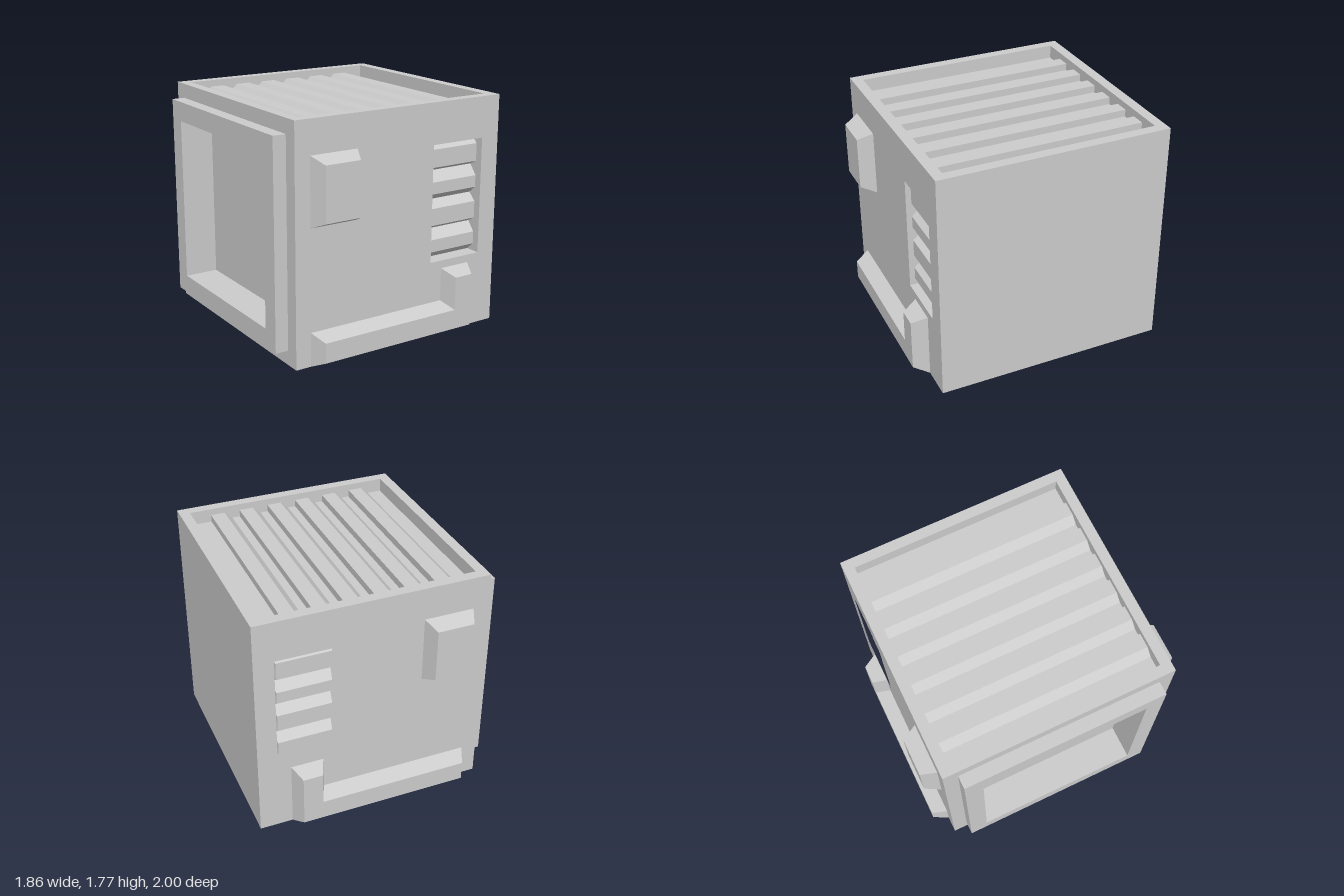
import * as THREE from 'three';

const material = new THREE.MeshStandardMaterial({ color: 0xcccccc, flatShading: true });

function add(parent, name, geometry) {
  const mesh = new THREE.Mesh(geometry, material);
  mesh.name = name;
  parent.add(mesh);
  return mesh;
}

const rect = (x0, x1, y0, y1) => [[x0, y0], [x1, y0], [x1, y1], [x0, y1]];
const vectors = (points) => points.map(([x, y]) => new THREE.Vector2(x, y));

// Straight plate with an optional opening
function plate(outline, hole, depth) {
  const shape = new THREE.Shape(vectors(outline));
  if (hole) shape.holes.push(new THREE.Path(vectors(hole)));
  return new THREE.ExtrudeGeometry(shape, { depth, bevelEnabled: false });
}

// Raised block tapering from a base outline at z0 to a face outline at z1
function taperedBlock(base, face, z0, z1) {
  let b = vectors(base), f = vectors(face);
  if (THREE.ShapeUtils.isClockWise(b)) { b = b.reverse(); f = f.reverse(); }
  const pos = [];
  const put = (p, z) => pos.push(p.x, p.y, z);
  for (let i = 0; i < b.length; i++) {
    const j = (i + 1) % b.length;
    put(b[i], z0); put(b[j], z0); put(f[j], z1);
    put(b[i], z0); put(f[j], z1); put(f[i], z1);
  }
  for (const [i, j, k] of THREE.ShapeUtils.triangulateShape(f, [])) {
    put(f[i], z1); put(f[j], z1); put(f[k], z1);
  }
  const geometry = new THREE.BufferGeometry();
  geometry.setAttribute('position', new THREE.Float32BufferAttribute(pos, 3));
  geometry.computeVertexNormals();
  return geometry;
}

// One decorated wall; s = -1 gives the mirrored layout for the back
function decoratedWall(name, s) {
  const wall = new THREE.Group();
  wall.name = name;
  const flip = (points) => points.map(([x, y]) => [s * x, y]);

  // Wall panel with the vent opening
  const panel = plate(flip(rect(-0.83, 0.93, 0, 1.665)), flip(rect(0.33, 0.78, 0.57, 1.46)), 0.12);
  add(wall, 'wallPanel', panel.translate(0, 0, 0.765));

  // Vent slats: base bottom, base top, face bottom, face top
  const slats = [
    [1.24, 1.46, 1.28, 1.415], [1.02, 1.24, 1.08, 1.17],
    [0.795, 1.02, 0.84, 0.97], [0.57, 0.795, 0.635, 0.73],
  ];
  for (const [b0, b1, f0, f1] of slats) {
    add(wall, 'ventSlat', taperedBlock(
      flip(rect(0.33, 0.78, b0, b1)), flip(rect(0.35, 0.76, f0, f1)), 0.765, 0.85));
  }

  // Raised rectangular pad
  add(wall, 'raisedPad', taperedBlock(
    flip(rect(-0.71, -0.33, 1.015, 1.52)), flip(rect(-0.66, -0.38, 1.065, 1.47)), 0.885, 1));

  // L-shaped raised duct along the bottom
  const ductBase = [[-0.71, 0], [0.68, 0], [0.68, 0.51], [0.43, 0.51], [0.43, 0.255], [-0.71, 0.255]];
  const ductFace = [[-0.66, 0.055], [0.63, 0.055], [0.63, 0.46], [0.48, 0.46], [0.48, 0.205], [-0.66, 0.205]];
  add(wall, 'cornerDuct', taperedBlock(flip(ductBase), flip(ductFace), 0.885, 1));

  if (s < 0) wall.rotation.y = Math.PI;
  return wall;
}

export function createModel() {
  const model = new THREE.Group();
  model.name = 'ventilationUnit';

  // Solid core behind the wall panels
  add(model, 'core', new THREE.BoxGeometry(1.6, 1.665, 1.53).translate(0.13, 0.8325, 0));

  // Front and back walls
  model.add(decoratedWall('frontWall', 1), decoratedWall('backWall', -1));

  // Side wall with a deep window and the frame standing proud of it
  const opening = rect(-0.637, 0.637, 0.25, 1.51);
  add(model, 'sideWall', plate(rect(-0.765, 0.765, 0, 1.665), opening, 0.16)
    .rotateY(-Math.PI / 2).translate(-0.67, 0, 0));
  add(model, 'sideFrame', plate(rect(-0.775, 0.775, 0.11, 1.66), opening, 0.1)
    .rotateY(-Math.PI / 2).translate(-0.83, 0, 0));

  // Rim around the recessed roof
  add(model, 'roofRim', plate(rect(-0.83, 0.93, -0.885, 0.885), rect(-0.75, 0.85, -0.805, 0.805), 0.105)
    .rotateX(-Math.PI / 2).translate(0, 1.665, 0));

  // Roof slats, sloped on one side and upright on the other
  for (let i = 0; i < 6; i++) {
    const x = -0.64 + i * 0.231;
    const profile = [[x, 1.665], [x + 0.17, 1.665], [x + 0.17, 1.72], [x + 0.06, 1.72]];
    add(model, 'roofSlat', plate(profile, null, 1.61).translate(0, 0, -0.805));
  }

  return model;
}
